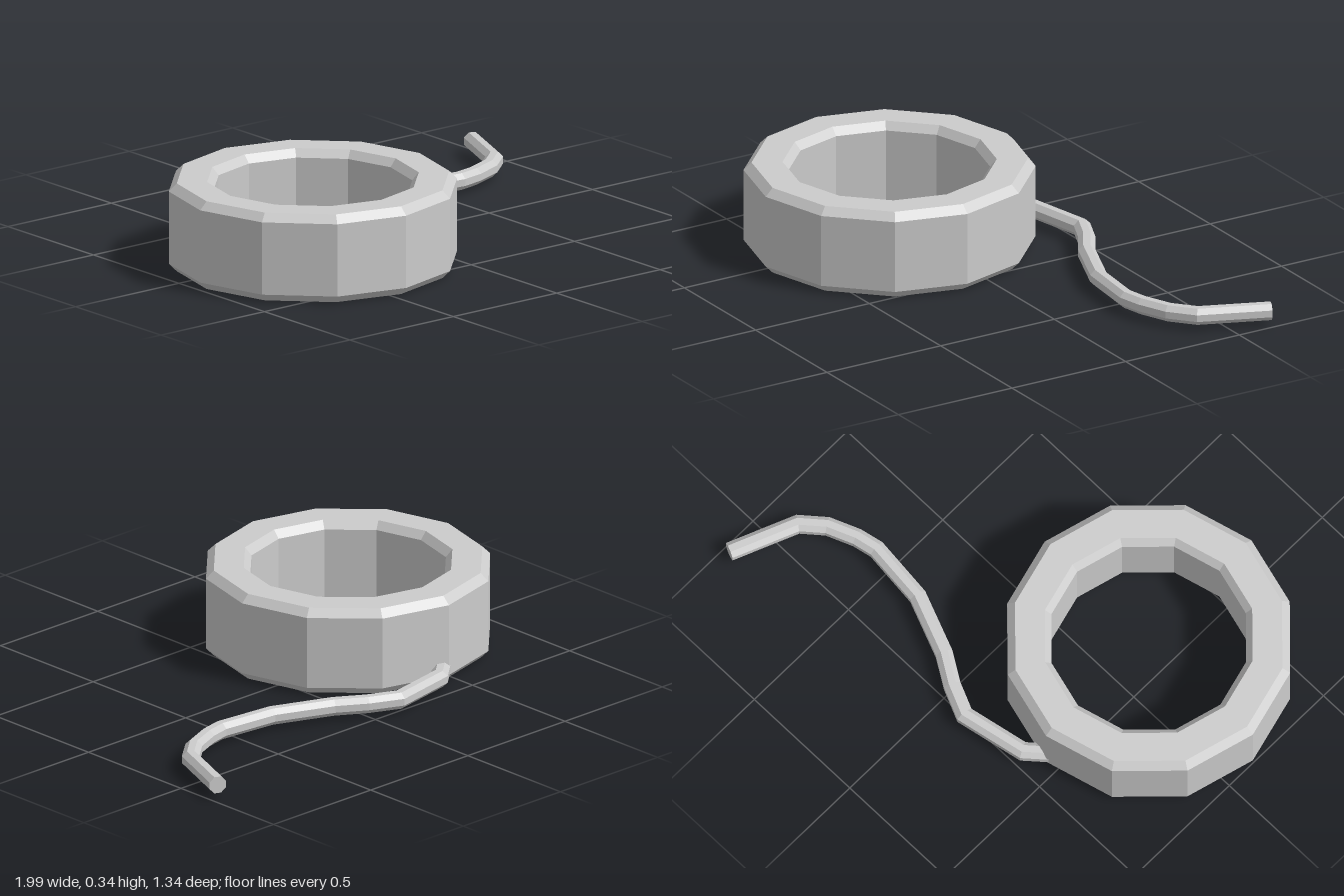
import * as THREE from 'three';

const material = new THREE.MeshStandardMaterial({ color: 0xcccccc, flatShading: true });

// Sweeps a faceted round section along a flat [x, z] path, mitred at each bend
function sweepCord(path, y, radius, sides) {
  const points = path.map(([x, z]) => new THREE.Vector2(x, z));
  const last = points.length - 1;
  const positions = [];
  const index = [];
  points.forEach((p, i) => {
    const before = p.clone().sub(points[Math.max(i - 1, 0)]).normalize();
    const after = points[Math.min(i + 1, last)].clone().sub(p).normalize();
    const dir = before.clone().add(after).normalize();
    const miter = 1 / dir.dot(i < last ? after : before);
    for (let k = 0; k < sides; k++) {
      const a = ((k + 0.5) / sides) * Math.PI * 2;
      const side = Math.cos(a) * radius * miter;
      positions.push(p.x - dir.y * side, y + Math.sin(a) * radius, p.y + dir.x * side);
    }
  });
  for (let i = 0; i < last; i++) {
    for (let k = 0; k < sides; k++) {
      const a = i * sides + k;
      const b = i * sides + ((k + 1) % sides);
      index.push(a, a + sides, b + sides, a, b + sides, b);
    }
  }
  // End caps
  for (let k = 1; k < sides - 1; k++) {
    const e = last * sides;
    index.push(0, k, k + 1, e, e + k + 1, e + k);
  }
  const geometry = new THREE.BufferGeometry();
  geometry.setAttribute('position', new THREE.Float32BufferAttribute(positions, 3));
  geometry.setIndex(index);
  geometry.computeVertexNormals();
  return geometry;
}

export function createModel() {
  const model = new THREE.Group();
  model.name = 'ringWithCord';

  // Twelve-sided ring with bevelled edges
  const height = 0.34, bevel = 0.03;
  const inner = 0.375, innerEdge = 0.4, outerEdge = 0.515, outer = 0.545;
  const profile = [
    [inner, bevel], [innerEdge, 0], [outerEdge, 0], [outer, bevel],
    [outer, height - bevel], [outerEdge, height], [innerEdge, height],
    [inner, height - bevel], [inner, bevel],
  ].map(([r, y]) => new THREE.Vector2(r, y));
  const ring = new THREE.Mesh(new THREE.LatheGeometry(profile, 12), material);
  ring.name = 'ring';
  ring.position.set(-0.455, 0, 0.125);
  model.add(ring);

  // Wavy cord leaving the back of the ring
  const path = [
    [-0.47, -0.37], [-0.37, -0.457], [-0.115, -0.508], [0, -0.457],
    [0.11, -0.388], [0.34, -0.295], [0.58, -0.27], [0.665, -0.288],
    [0.775, -0.333], [0.86, -0.405], [0.965, -0.662],
  ];
  const cord = new THREE.Mesh(sweepCord(path, 0.051, 0.035, 8), material);
  cord.name = 'cord';
  model.add(cord);

  return model;
}
